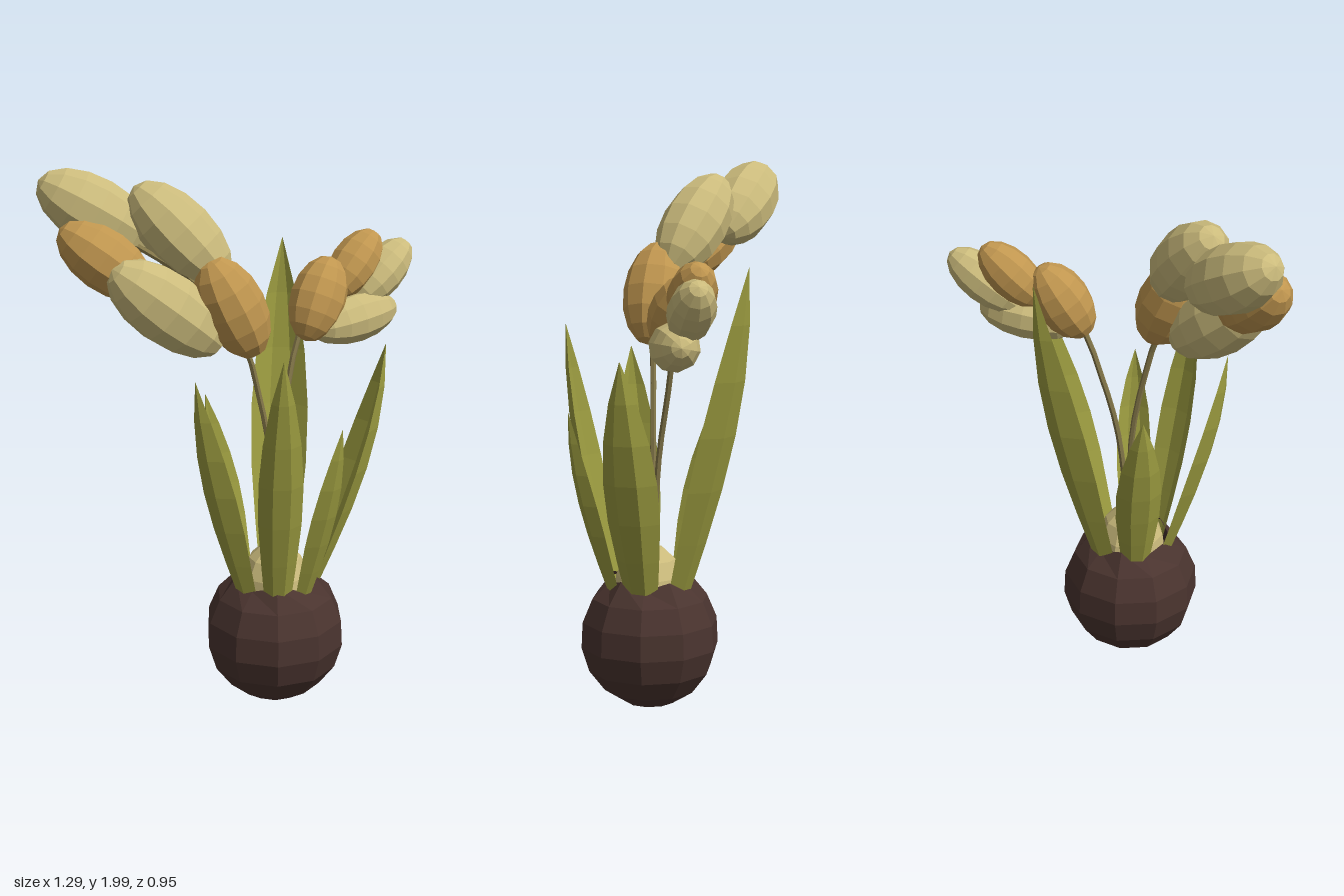
import * as THREE from 'three';

const CX = -0.03, CZ = 0.16; // plant axis
const mat = (color, side = THREE.FrontSide) =>
  new THREE.MeshStandardMaterial({ color, side, flatShading: true });

export function createModel() {
  const root = new THREE.Group();
  const husk = mat(0x4a342f, THREE.DoubleSide);
  const cream = mat(0xcbbb7c);
  const amber = mat(0xc0964f);
  const green = mat(0x9c9c40, THREE.DoubleSide);
  const stalkMat = mat(0x85784a);

  const add = (name, geometry, material, parent = root) => {
    const mesh = new THREE.Mesh(geometry, material);
    mesh.name = name;
    parent.add(mesh);
    return mesh;
  };

  // Round husk, open at the top with a toothed rim
  const huskGeo = new THREE.SphereGeometry(0.26, 10, 7, 0.25, Math.PI * 2, 0.62, Math.PI - 0.62);
  const hp = huskGeo.attributes.position;
  for (let i = 0; i <= 10; i++) hp.setY(i, hp.getY(i) + (i % 2 ? 0.012 : -0.012));
  huskGeo.scale(1, 1.03, 1);
  add('husk', huskGeo, husk).position.set(CX, 0.27, CZ);

  // Pale bulb inside the husk
  const bulb = add('bulb', new THREE.SphereGeometry(0.135, 10, 8), cream);
  bulb.scale.y = 1.4;
  bulb.position.set(CX, 0.43, CZ);

  // Leaf: folded blade swept outward, cross-section widest at mid height
  const section = [[-0.5, -0.3], [-0.2, 0], [0.2, 0], [0.5, -0.3], [0.18, -0.1], [-0.18, -0.1]];
  const widths = [0.6, 0.8, 0.97, 1, 0.85, 0.52, 0.01];
  function leafGeometry(tx, ty, tz, width) {
    const a = Math.atan2(tz - CZ, tx - CX), c = Math.cos(a), s = Math.sin(a);
    const reach = Math.hypot(tx - CX, tz - CZ), base = 0.155, y0 = 0.44;
    const pos = [], idx = [], n = section.length, rings = widths.length;
    widths.forEach((k, j) => {
      const t = j / (rings - 1), w = width * k;
      const r = base + (reach - base) * Math.sin(t * Math.PI / 2);
      for (const [u, v] of section) {
        const rr = r + v * w, side = u * w;
        pos.push(CX + c * rr - s * side, y0 + (ty - y0) * t, CZ + s * rr + c * side);
      }
    });
    for (let j = 0; j < rings - 1; j++) {
      for (let i = 0; i < n; i++) {
        const p = j * n + i, q = j * n + (i + 1) % n;
        idx.push(p, p + n, q, q, p + n, q + n);
      }
    }
    const g = new THREE.BufferGeometry();
    g.setAttribute('position', new THREE.Float32BufferAttribute(pos, 3));
    g.setIndex(idx);
    const flat = g.toNonIndexed();
    flat.computeVertexNormals();
    return flat;
  }
  const leaves = new THREE.Group();
  leaves.name = 'leaves';
  root.add(leaves);
  [ // tip x, y, z, width
    [0.27, 1.66, -0.13, 0.21],
    [-0.12, 1.14, -0.12, 0.17],
    [-0.39, 1.31, 0.14, 0.17],
    [-0.235, 1.42, 0.425, 0.16],
    [0.005, 1.13, 0.47, 0.13],
    [0.33, 1.35, 0.355, 0.2],
  ].forEach((l, i) => add('leaf' + (i + 1), leafGeometry(...l), green, leaves));

  // Two thin stalks rising from the bulb into the bud clusters
  const stalk = (name, pts) => {
    const curve = new THREE.CatmullRomCurve3(pts.map(p => new THREE.Vector3(...p)));
    add(name, new THREE.TubeGeometry(curve, 14, 0.011, 6), stalkMat);
  };
  stalk('rightStalk', [[CX, 0.5, 0.155], [-0.035, 0.92, 0.145], [-0.085, 1.2, 0.13],
    [-0.15, 1.42, 0.11], [-0.28, 1.62, 0.02], [-0.4, 1.74, -0.15]]);
  stalk('leftStalk', [[CX, 0.5, 0.15], [0.015, 0.95, 0.135], [0.075, 1.2, 0.115],
    [0.15, 1.4, 0.11], [0.28, 1.49, 0.125], [0.44, 1.52, 0.135]]);

  // Buds: faceted ellipsoids aimed along an axis
  const up = new THREE.Vector3(0, 1, 0);
  function cluster(name, buds) {
    const group = new THREE.Group();
    group.name = name;
    root.add(group);
    buds.forEach(([material, centre, axis, len, rad], i) => {
      const bud = add('bud' + (i + 1), new THREE.SphereGeometry(1, 10, 8), material, group);
      bud.scale.set(rad, len, rad);
      bud.position.set(...centre);
      bud.quaternion.setFromUnitVectors(up, new THREE.Vector3(...axis).normalize());
    });
  }
  // material, centre, axis, half length, radius
  cluster('rightBuds', [
    [cream, [-0.45, 1.84, -0.32], [-0.66, 0.51, -0.55], 0.228, 0.123],
    [cream, [-0.268, 1.775, -0.077], [-0.43, 0.71, -0.56], 0.232, 0.123],
    [amber, [-0.51, 1.7, -0.195], [-0.53, 0.57, -0.62], 0.192, 0.108],
    [cream, [-0.38, 1.54, -0.02], [-0.69, 0.63, -0.35], 0.25, 0.13],
    [amber, [-0.18, 1.53, 0.1], [-0.37, 0.9, -0.22], 0.2, 0.117],
  ]);
  cluster('leftBuds', [
    [amber, [0.215, 1.49, 0.12], [0.5, 0.83, -0.1], 0.162, 0.103],
    [amber, [0.4, 1.585, 0.113], [0.72, 0.68, 0], 0.15, 0.087],
    [cream, [0.51, 1.54, 0.145], [0.8, 0.6, 0.05], 0.16, 0.085],
    [cream, [0.355, 1.4, 0.165], [0.98, 0.1, 0.12], 0.188, 0.09],
  ]);
  return root;
}
